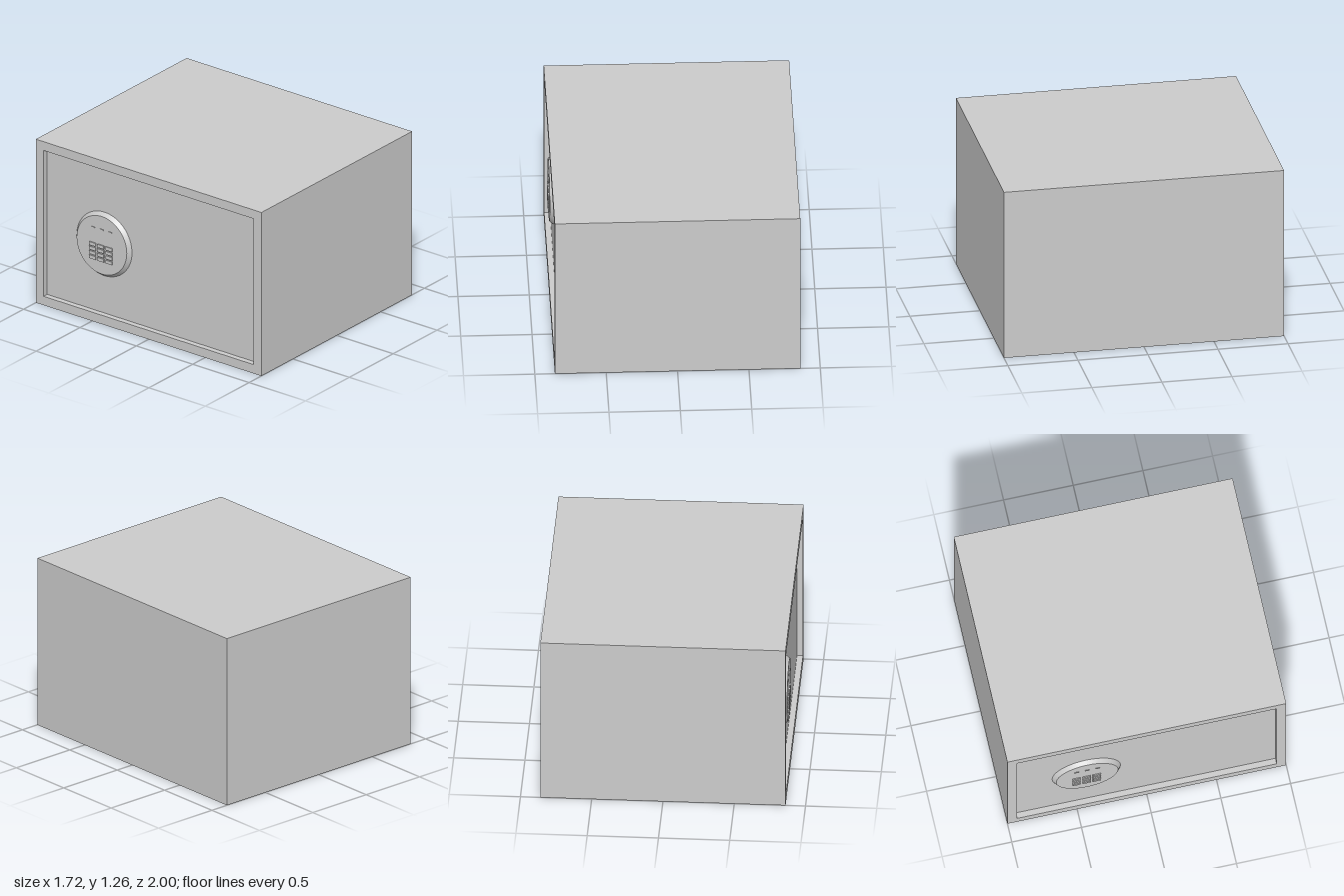
import * as THREE from 'three';

const material = new THREE.MeshStandardMaterial({ color: 0xcccccc });

// Built facing local +z, then turned so the door faces -x
const W = 2, H = 1.26, D = 1.72;
const BORDER = 0.068, RECESS = 0.042;
const DOOR_Z = D / 2 - RECESS;

function add(parent, name, geometry, x, y, z) {
  const mesh = new THREE.Mesh(geometry, material);
  mesh.name = name;
  mesh.position.set(x, y, z);
  parent.add(mesh);
  return mesh;
}

function rectangle(PathType, w, h) {
  return new PathType([
    new THREE.Vector2(-w / 2, -h / 2), new THREE.Vector2(w / 2, -h / 2),
    new THREE.Vector2(w / 2, h / 2), new THREE.Vector2(-w / 2, h / 2),
  ]);
}

export function createModel() {
  const model = new THREE.Group();
  model.name = 'safe';
  const safe = new THREE.Group();
  safe.name = 'safeBody';
  safe.rotation.y = -Math.PI / 2;
  model.add(safe);

  // Cabinet, its end forming the recessed door
  add(safe, 'cabinet', new THREE.BoxGeometry(W, H, D - RECESS), 0, H / 2, -RECESS / 2);

  // Raised frame around the door
  const frame = rectangle(THREE.Shape, W, H);
  frame.holes.push(rectangle(THREE.Path, W - 2 * BORDER, H - 2 * BORDER));
  add(safe, 'doorFrame',
    new THREE.ExtrudeGeometry(frame, { depth: RECESS, bevelEnabled: false }), 0, H / 2, DOOR_Z);

  // Round lock panel with a sloped rim
  const lock = new THREE.Group();
  lock.name = 'lockPanel';
  lock.position.set(-0.425, 0.6, DOOR_Z);
  safe.add(lock);
  const thickness = 0.03;
  const disc = new THREE.CylinderGeometry(0.222, 0.245, thickness, 64).rotateX(Math.PI / 2);
  add(lock, 'lockDisc', disc, 0, 0, thickness / 2);

  // Keypad of three columns and four rows
  const key = new THREE.BoxGeometry(0.058, 0.025, 0.01);
  for (let row = 0; row < 4; row++) {
    for (let col = -1; col <= 1; col++) {
      add(lock, 'key', key, col * 0.073 - 0.005, -0.01 - row * 0.034, thickness + 0.003);
    }
  }

  // Indicator lamps above the keypad
  const lamp = new THREE.BoxGeometry(0.03, 0.008, 0.006);
  for (const x of [-0.075, 0, 0.075]) add(lock, 'indicatorLamp', lamp, x, 0.12, thickness + 0.001);

  return model;
}
